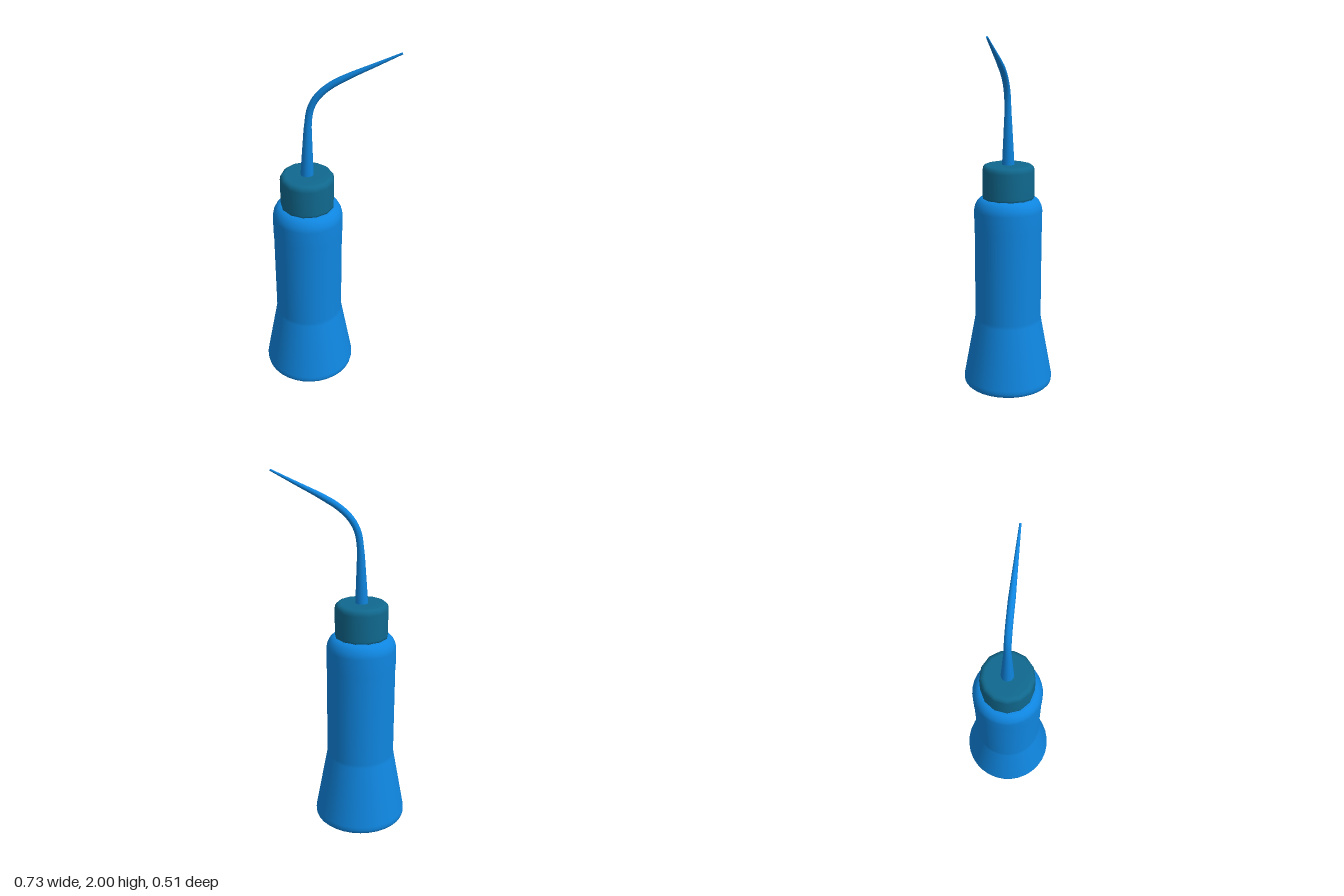
import * as THREE from 'three';

const AXIS_X = -0.11;

// Smooth turned part from [radius, height] pairs, listed bottom to top
function turned(name, profile, sides, material) {
  const points = profile.map(([r, y]) => new THREE.Vector2(r, y));
  const mesh = new THREE.Mesh(new THREE.LatheGeometry(points, sides), material);
  mesh.name = name;
  mesh.position.x = AXIS_X;
  return mesh;
}

// Tube whose rings shrink along its length, with a closed tip
function taperedTube(curve, steps, sides, radiusAt) {
  const geometry = new THREE.TubeGeometry(curve, steps, 1, sides, false);
  const position = geometry.attributes.position;
  const v = new THREE.Vector3();
  for (let i = 0; i <= steps; i++) {
    const centre = curve.getPointAt(i / steps);
    for (let j = 0; j <= sides; j++) {
      const k = i * (sides + 1) + j;
      v.fromBufferAttribute(position, k).sub(centre).multiplyScalar(radiusAt(i / steps)).add(centre);
      position.setXYZ(k, v.x, v.y, v.z);
    }
  }
  return geometry;
}

export function createModel() {
  const blue = new THREE.MeshStandardMaterial({ color: 0x0f86e0 });
  blue.name = 'bottle blue';
  const teal = new THREE.MeshStandardMaterial({ color: 0x10698f });
  teal.name = 'cap teal';

  const model = new THREE.Group();
  model.name = 'washBottle';

  // Flared bottle body with rounded shoulder
  model.add(turned('bottleBody', [
    [0, 0], [0.235, 0], [0.245, 0.002], [0.253, 0.01], [0.256, 0.025], [0.255, 0.045],
    [0.192, 0.39], [0.189, 0.41], [0.189, 0.9], [0.191, 0.93], [0.191, 1.04],
    [0.186, 1.066], [0.174, 1.09], [0.158, 1.105], [0.14, 1.11], [0, 1.11],
  ], 32, blue));

  // Faceted screw cap
  model.add(turned('cap', [
    [0.13, 1.1], [0.145, 1.105], [0.146, 1.12], [0.146, 1.262], [0.143, 1.28],
    [0.133, 1.292], [0.118, 1.296], [0, 1.296],
  ], 13, teal));

  // Bent, tapering spout
  const path = new THREE.CatmullRomCurve3([
    [-0.11, 1.28], [-0.106, 1.45], [-0.1, 1.6], [-0.086, 1.68], [-0.052, 1.745],
    [0.01, 1.806], [0.1, 1.862], [0.23, 1.929], [0.358, 1.995],
  ].map(([x, y]) => new THREE.Vector3(x, y, 0)));
  const radiusAt = (t) => (t < 0.33
    ? THREE.MathUtils.lerp(0.036, 0.019, t / 0.33)
    : t < 0.65
      ? THREE.MathUtils.lerp(0.019, 0.0175, (t - 0.33) / 0.32)
      : THREE.MathUtils.lerp(0.0175, 0.005, (t - 0.65) / 0.35));
  const spout = new THREE.Mesh(taperedTube(path, 40, 14, radiusAt), blue);
  spout.name = 'spout';
  model.add(spout);

  // End face of the spout
  const tip = new THREE.Mesh(new THREE.CircleGeometry(0.005, 14), blue);
  tip.name = 'spoutTip';
  tip.position.copy(path.getPointAt(1));
  tip.quaternion.setFromUnitVectors(new THREE.Vector3(0, 0, 1), path.getTangentAt(1));
  model.add(tip);

  return model;
}
